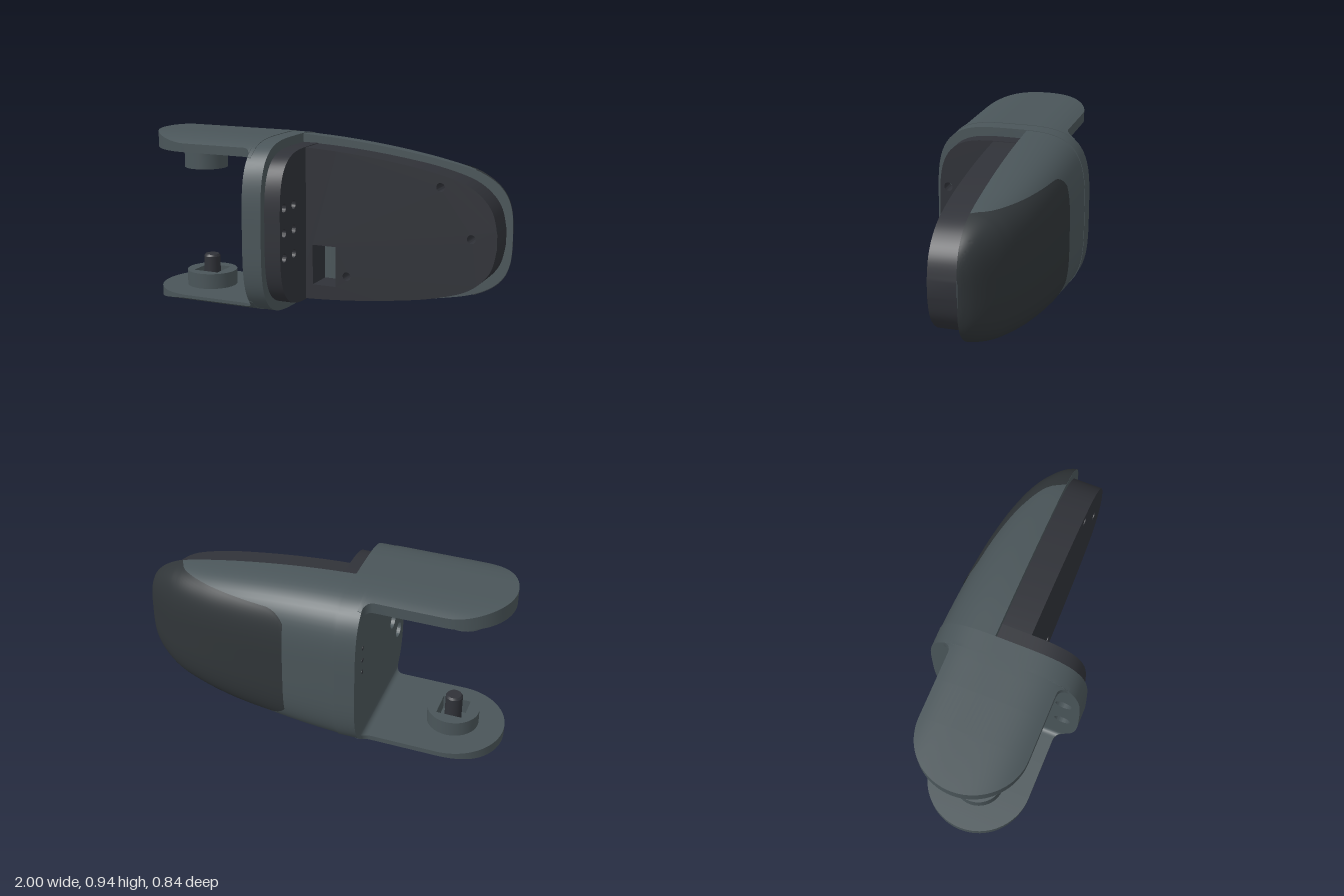
import * as THREE from 'three';
import { toCreasedNormals } from 'three/addons/utils/BufferGeometryUtils.js';

const CY = 0.472, N = 3.7, CUT = 0.09;
const V = (x, y, z) => new THREE.Vector3(x, y, z);
const shellMat = new THREE.MeshStandardMaterial({ color: 0x4a5559 });
const darkMat = new THREE.MeshStandardMaterial({ color: 0x303238 });
const panelMat = new THREE.MeshStandardMaterial({ color: 0x303538, side: THREE.DoubleSide });

// Point of a superellipse with half height h and half depth d; a = 0 faces the back
function squircle(a, h, d) {
  const c = Math.cos(a), s = Math.sin(a);
  const r = Math.pow(Math.abs(c) ** N + Math.abs(s) ** N, -1 / N);
  return [h * r * s, -d * r * c];
}
const rest = k => Math.pow(Math.max(0, 1 - Math.min(1, k) ** N), 1 / N);
// Drop of a quarter-round fillet of radius r, from 0 at t = 0 to r at t = r
const fillet = (r, t) => {
  const f = Math.min(r, Math.max(0, t));
  return r - Math.sqrt(Math.max(0, r * r - f * f));
};

// Skin over rings that advance along +x
function loft(rings, closed = true) {
  const n = rings[0].length, pos = [], idx = [];
  rings.forEach(r => r.forEach(p => pos.push(p.x, p.y, p.z)));
  for (let i = 0; i < rings.length - 1; i++) {
    for (let j = 0; j < (closed ? n : n - 1); j++) {
      const k = (j + 1) % n, a = i * n + j, b = i * n + k;
      idx.push(a, b, b + n, a, b + n, a + n);
    }
  }
  if (closed) {
    [0, rings.length - 1].forEach((i, end) => {
      const c = rings[i].reduce((s, p) => s.add(p), V(0, 0, 0)).divideScalar(n);
      const m = pos.length / 3;
      pos.push(c.x, c.y, c.z);
      for (let j = 0; j < n; j++) {
        const a = i * n + j, b = i * n + (j + 1) % n;
        if (end) idx.push(m, a, b); else idx.push(m, b, a);
      }
    });
  }
  const g = new THREE.BufferGeometry();
  g.setAttribute('position', new THREE.Float32BufferAttribute(pos, 3));
  g.setIndex(idx);
  return toCreasedNormals(g, 0.6);
}

// Body taper: x, half height, half depth
const taper = new THREE.CatmullRomCurve3([
  V(-0.19, 0.464, 0.418), V(0, 0.452, 0.41), V(0.2, 0.433, 0.396), V(0.4, 0.407, 0.375), V(0.6, 0.374, 0.338),
  V(0.78, 0.335, 0.278), V(0.9, 0.28, 0.206), V(0.96, 0.225, 0.156), V(0.99, 0.165, 0.115), V(1, 0.12, 0.0905),
]);
const stations = taper.getPoints(72);

// Back-facing arc of a section, from angle -m to m
function backArc(x, h, d, m) {
  const ring = [];
  for (let i = 0; i <= 48; i++) {
    const [y, z] = squircle(m * (i / 24 - 1), h, d);
    ring.push(V(Math.min(x, 1), CY + y, z));
  }
  return ring;
}
const cutAngle = d => Math.atan2(rest(CUT / d), Math.min(1, CUT / d));

const backShell = () => loft(stations.map(({ x, y: h, z: d }) => backArc(x, h, d, cutAngle(d))));

// Dark cover with rounded corners, laid on the back and wrapping the tip
function backPanel() {
  const x0 = 0.08, R = 0.13, W = 0.335;
  return loft(stations.filter(p => p.x >= x0).map(p => {
    const h = p.y + 0.004, d = p.z + 0.004;
    const w = Math.min(1, (W - fillet(R, R - (p.x - x0))) / h);
    return backArc(p.x, h, d, Math.min(Math.atan2(w, rest(w)), cutAngle(d)));
  }), false);
}

// Arm with a round end, its outer face following the body section; s = 1 top, -1 bottom
function arm(s, inner) {
  const xs = [];
  for (let i = 0; i <= 20; i++) xs.push(-0.71 - 0.29 * Math.cos(i / 20 * Math.PI / 2));
  xs.push(-0.5);
  for (let i = 0; i <= 8; i++) xs.push(-0.35 + 0.05 * Math.sin(i / 8 * Math.PI / 2));
  xs.push(-0.28);
  return loft(xs.map(x => {
    const w = 0.29 - fillet(0.29, -0.71 - x) + fillet(0.05, x + 0.35);
    const yi = inner - s * fillet(0.03, x + 0.33);
    const ring = [];
    for (let i = 0; i <= 24; i++) {
      const z = 0.01 + s * w * (i / 12 - 1);
      const y = CY + s * 0.47 * rest(Math.abs(z) / 0.42);
      ring.push(V(x, s > 0 ? Math.max(y, yi + 0.002) : Math.min(y, yi - 0.002), z));
    }
    ring.push(V(x, yi, 0.01 + s * w), V(x, yi, 0.01 - s * w));
    return ring;
  }));
}

const circle = (x, y, r) => new THREE.Path().absarc(x, y, r, 0, Math.PI * 2, true);
const polygon = pts => pts.map(p => new THREE.Vector2(...p));
const extrude = (shape, depth) => toCreasedNormals(
  new THREE.ExtrudeGeometry(shape, { depth, bevelEnabled: false, curveSegments: 32 }), 0.6);

// Upright plate across x with holes given as [z, y, radius]
function plate(h, d, x, depth, holes) {
  const pts = [];
  for (let i = 0; i < 112; i++) {
    const [y, z] = squircle(i / 112 * Math.PI * 2, h, d);
    pts.push(new THREE.Vector2(-z, CY + y));
  }
  const shape = new THREE.Shape(pts);
  holes.forEach(([z, y, r]) => shape.holes.push(circle(-z, y, r)));
  return extrude(shape, depth).rotateY(Math.PI / 2).translate(x, 0, 0);
}

// Front insert plate with a pocket and screw holes
function insertPlate() {
  const half = new THREE.SplineCurve(polygon([[-0.19, 0.418], [0, 0.41], [0.2, 0.394], [0.4, 0.37], [0.6, 0.337],
    [0.78, 0.287], [0.88, 0.225], [0.94, 0.145], [0.965, 0.04]])).getPoints(40);
  const low = half.map(p => new THREE.Vector2(p.x, CY - p.y));
  const high = half.map(p => new THREE.Vector2(p.x, CY + p.y)).reverse();
  const shape = new THREE.Shape([...low, ...high]);
  shape.holes.push(new THREE.Path(polygon([[-0.06, 0.14], [-0.06, 0.36], [0.075, 0.36], [0.075, 0.14]])));
  [[0.66, 0.73], [0.83, 0.475], [0.14, 0.205]].forEach(([x, y]) => shape.holes.push(circle(x, y, 0.023)));
  return extrude(shape, 0.16).translate(0, 0, -CUT);
}

// Upright collar around a bore
function collar(r, bore, x, y, height) {
  const shape = new THREE.Shape();
  shape.absarc(0, 0, r, 0, Math.PI * 2, false);
  shape.holes.push(bore);
  return extrude(shape, height).rotateX(-Math.PI / 2).translate(x, y, 0.01);
}

const disc = (r, x, y, h) => new THREE.CylinderGeometry(r, r, h, 40).translate(x, y + h / 2, 0.01);

export function createModel() {
  const group = new THREE.Group();
  const add = (name, geometry, material) => {
    const mesh = new THREE.Mesh(geometry, material);
    mesh.name = name;
    group.add(mesh);
  };

  // Body
  const through = [[0.33, 0.605], [0.33, 0.34], [0.217, 0.472]];
  const blind = [[0.217, 0.605], [0.217, 0.34], [0.33, 0.472]];
  add('backShell', backShell(), shellMat);
  add('backPanel', backPanel(), panelMat);
  add('sideFlange', plate(0.467, 0.42, -0.3, 0.11, through.map(p => [...p, 0.045])), shellMat);
  add('sideInsert', plate(0.418, 0.378, -0.19, 0.09, [...through, ...blind].map(p => [...p, 0.024])), darkMat);
  add('frontInsert', insertPlate(), darkMat);
  add('pocketCatch', new THREE.BoxGeometry(0.055, 0.065, 0.1).translate(0.047, 0.327, -0.04), shellMat);
  [0.49, 0.565, 0.64].forEach(y => add('pinHole',
    new THREE.CylinderGeometry(0.012, 0.012, 0.004, 16).rotateZ(Math.PI / 2).translate(-0.3, y, -0.3), darkMat));

  // Arms
  add('topArm', arm(1, 0.853), shellMat);
  add('bottomArm', arm(-1, 0.06), shellMat);

  // Upper pivot socket
  add('socketWasher', disc(0.165, -0.735, 0.846, 0.01), shellMat);
  add('pivotSocket', collar(0.12, circle(0, 0, 0.085), -0.745, 0.732, 0.118), shellMat);

  // Lower pivot with a square recess around the pin
  const square = new THREE.Path(polygon([[-0.075, -0.075], [-0.075, 0.075], [0.075, 0.075], [0.075, -0.075]]));
  add('pivotBoss', collar(0.14, square, -0.72, 0.055, 0.09), shellMat);
  add('pivotPin', disc(0.046, -0.72, 0.05, 0.17), darkMat);
  add('pivotPinTip', new THREE.CylinderGeometry(0.038, 0.046, 0.012, 40).translate(-0.72, 0.226, 0.01), darkMat);
  add('undersideCap', disc(0.09, -0.72, 0.001, 0.02), darkMat);
  add('undersideKey', new THREE.BoxGeometry(0.035, 0.01, 0.035).translate(-0.72, 0.005, 0.01), shellMat);
  return group;
}
